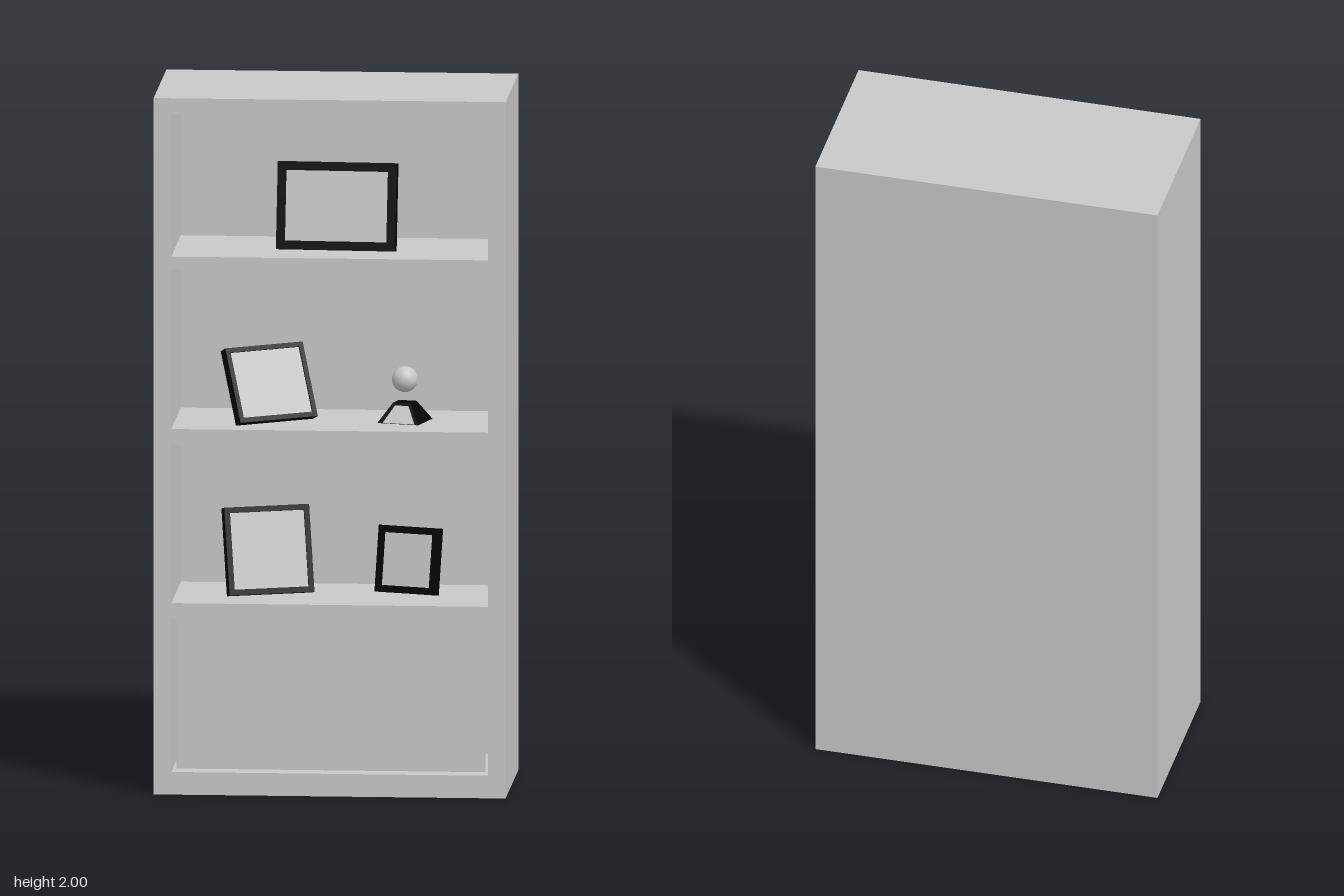
import * as THREE from 'three';

const lightGrey = new THREE.MeshStandardMaterial({ color: 0xc8c8c8 });
lightGrey.name = 'lightGrey';
const black = new THREE.MeshStandardMaterial({ color: 0x050505 });
black.name = 'black';

function add(parent, name, geometry, material, x = 0, y = 0, z = 0) {
  const mesh = new THREE.Mesh(geometry, material);
  mesh.name = name;
  mesh.position.set(x, y, z);
  parent.add(mesh);
  return mesh;
}

// Rectangle points from two opposite corners
function rect(x0, y0, x1, y1) {
  return [[x0, y0], [x1, y0], [x1, y1], [x0, y1]].map(([x, y]) => new THREE.Vector2(x, y));
}

// Board with rectangular openings, from z = 0 to z = depth
function openBoard(outer, holes, depth) {
  const shape = new THREE.Shape(outer);
  holes.forEach((h) => shape.holes.push(new THREE.Path(h)));
  return new THREE.ExtrudeGeometry(shape, { depth, bevelEnabled: false });
}

// Standing picture frame: yawed, tilted back, propped on a rear leg
function pictureFrame({ name, pos, w, h, bar, thick, yaw, tilt, floor }) {
  const stand = new THREE.Group();
  stand.name = name;
  stand.position.set(...pos);
  stand.rotation.y = THREE.MathUtils.degToRad(yaw);

  const panel = new THREE.Group();
  panel.name = 'framePanel';
  panel.rotation.x = -THREE.MathUtils.degToRad(tilt);
  stand.add(panel);
  const iw = w / 2 - bar, ih = h / 2 - bar;
  add(panel, 'frameBorder', openBoard(rect(-w / 2, -h / 2, w / 2, h / 2),
    [rect(-iw, -ih, iw, ih)], thick), black, 0, 0, -thick);
  add(panel, 'frameBack', new THREE.BoxGeometry(iw * 2, ih * 2, 0.01), black, 0, 0, -thick + 0.005);
  add(panel, 'picture', new THREE.BoxGeometry(iw * 2, ih * 2, 0.006), lightGrey, 0, 0, -0.007);

  const top = { y: 0, z: -thick };
  const foot = { y: floor - pos[1] + 0.005, z: -0.1 };
  const dy = top.y - foot.y, dz = top.z - foot.z;
  const leg = add(stand, 'frameLeg', new THREE.BoxGeometry(0.025, Math.hypot(dy, dz), 0.008),
    black, 0, (top.y + foot.y) / 2, (top.z + foot.z) / 2);
  leg.rotation.x = Math.atan2(dz, dy);
  return stand;
}

export function createModel() {
  const model = new THREE.Group();
  model.name = 'bookcase';

  // Cabinet: open front section and solid back
  const openings = [[0.065, 0.505], [0.55, 1.005], [1.05, 1.505], [1.545, 1.955]];
  add(model, 'cabinetBody', openBoard(rect(-0.5, 0, 0.5, 2),
    openings.map(([a, b]) => rect(-0.45, a, 0.45, b)), 0.375), lightGrey, 0, 0, -0.125);
  add(model, 'cabinetBack', new THREE.BoxGeometry(1, 2, 0.125), lightGrey, 0, 1, -0.1875);

  // Recessed door of the lower cupboard
  add(model, 'cupboardDoor', new THREE.BoxGeometry(0.877, 0.43, 0.03), lightGrey, 0.001, 0.286, 0.21);

  // Picture frames
  [
    { name: 'topFrame', pos: [0.01, 1.675, 0.125], w: 0.34, h: 0.25, bar: 0.025, thick: 0.04, yaw: -3, tilt: 10, floor: 1.545 },
    { name: 'middleFrame', pos: [-0.175, 1.165, 0.11], w: 0.25, h: 0.22, bar: 0.014, thick: 0.03, yaw: 33, tilt: 24, floor: 1.05 },
    { name: 'lowerRightFrame', pos: [-0.182, 0.682, 0.1], w: 0.25, h: 0.25, bar: 0.016, thick: 0.03, yaw: 20, tilt: 13, floor: 0.55 },
    { name: 'lowerLeftFrame', pos: [0.208, 0.656, 0.094], w: 0.185, h: 0.19, bar: 0.02, thick: 0.03, yaw: -18, tilt: 10, floor: 0.55 },
  ].forEach((f) => model.add(pictureFrame(f)));

  // Ornament: ball over a square tapered base with a pale front plate
  const ornament = new THREE.Group();
  ornament.name = 'ornament';
  ornament.position.set(0.2, 1.05, 0.06);
  model.add(ornament);
  add(ornament, 'ornamentBall', new THREE.SphereGeometry(0.037, 32, 20), lightGrey, 0, 0.12, 0);
  const base = new THREE.Group();
  base.name = 'ornamentBase';
  base.rotation.y = -THREE.MathUtils.degToRad(15);
  ornament.add(base);
  const taper = new THREE.CylinderGeometry(0.037, 0.087, 0.055, 4).toNonIndexed();
  taper.computeVertexNormals();
  add(base, 'taperedBase', taper.rotateY(Math.PI / 4), black, 0, 0.0275, 0);
  const slope = Math.hypot(0.055, 0.0355);
  const plateShape = new THREE.Shape([[-0.045, 0.001], [0.05, 0.001], [0.022, slope - 0.009], [-0.018, slope - 0.009]]
    .map(([x, y]) => new THREE.Vector2(x, y)));
  const plate = add(base, 'basePlate', new THREE.ExtrudeGeometry(plateShape, { depth: 0.002, bevelEnabled: false }),
    lightGrey, 0, 0, 0.0615);
  plate.rotation.x = -Math.atan2(0.0355, 0.055);
  return model;
}
